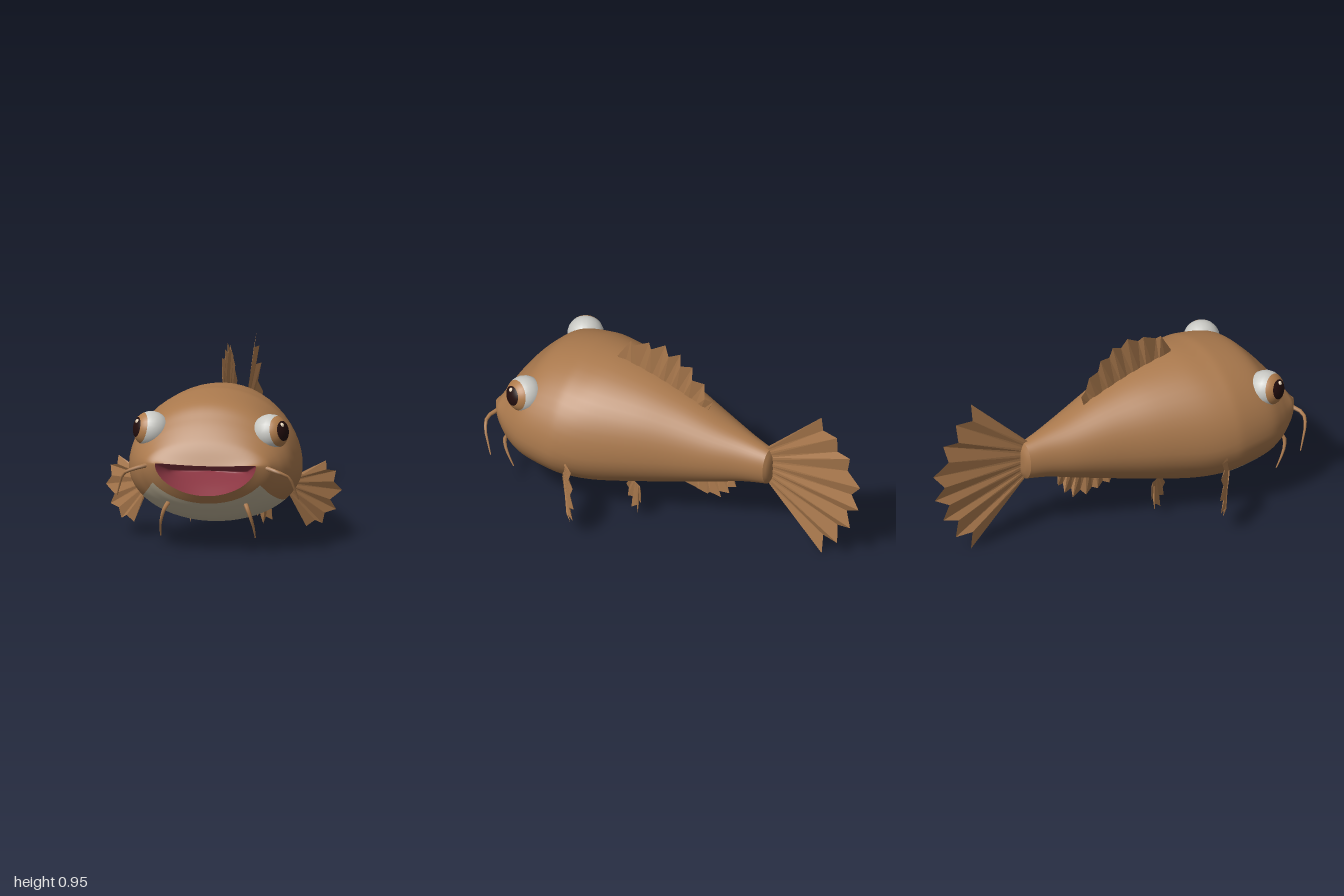
import * as THREE from 'three';

const mat = (name, color, double) => {
  const m = new THREE.MeshStandardMaterial({ color });
  m.name = name;
  if (double) m.side = THREE.DoubleSide;
  return m;
};

// Smooth skin lofted through stations [z, halfWidth, centreY, up, down, bellyAngle].
// Faces inside the belly angle on rows between bellyFrom and bellyTo form a second group.
function loft(stations, steps, bellyFrom = 0, bellyTo = 0) {
  const curveA = new THREE.CatmullRomCurve3(stations.map(s => new THREE.Vector3(s[0], s[1], s[2])), false, 'catmullrom');
  const curveB = new THREE.CatmullRomCurve3(stations.map(s => new THREE.Vector3(s[3], s[4], s[5])), false, 'catmullrom');
  const rows = (stations.length - 1) * steps, inBelly = 20, cols = 56;
  const pos = [], skin = [], belly = [];
  for (let i = 0; i <= rows; i++) {
    const { x: z, y: w, z: yc } = curveA.getPoint(i / rows);
    const { x: up, y: down, z: b } = curveB.getPoint(i / rows);
    const curl = 0.02 * Math.max(0, (z - 0.9) / 0.1); // lips turn up at the corners
    for (let j = 0; j < cols; j++) {
      const a = j < inBelly ? -b + 2 * b * j / inBelly
        : b + (2 * Math.PI - 2 * b) * (j - inBelly) / (cols - inBelly);
      const s = Math.sin(a), c = Math.cos(a);
      pos.push(w * s, yc - c * (c > 0 ? down : up) + curl * s * s, z);
    }
  }
  for (let i = 0; i < rows; i++) for (let j = 0; j < cols; j++) {
    const k = (j + 1) % cols, p = i * cols, q = p + cols;
    const target = j < inBelly && i >= bellyFrom && i < bellyTo ? belly : skin;
    target.push(p + j, q + j, p + k, p + k, q + j, q + k);
  }
  const g = new THREE.BufferGeometry();
  g.setAttribute('position', new THREE.Float32BufferAttribute(pos, 3));
  g.setIndex([...skin, ...belly]);
  g.addGroup(0, skin.length, 0);
  if (belly.length) g.addGroup(skin.length, belly.length, 1);
  g.computeVertexNormals();
  return g;
}

// Pleated fin: a strip from a root line to a zigzag edge; place(u, v) maps the 2D outline to 3D.
function finGeometry(rootA, rootB, tips, place, normal, pleat = 0.008) {
  const n = tips.length - 1, pos = [];
  const root = t => place(rootA[0] + (rootB[0] - rootA[0]) * t, rootA[1] + (rootB[1] - rootA[1]) * t);
  const tip = i => place(...tips[i]).addScaledVector(normal, i % 2 ? -pleat : pleat);
  for (let i = 0; i < n; i++) {
    const a = root(i / n), b = root((i + 1) / n), c = tip(i), d = tip(i + 1);
    for (const p of [a, c, b, b, c, d]) pos.push(p.x, p.y, p.z);
  }
  const g = new THREE.BufferGeometry();
  g.setAttribute('position', new THREE.Float32BufferAttribute(pos, 3));
  g.computeVertexNormals();
  return g;
}

// Whisker: a tube whose rings shrink towards the tip
function whiskerGeometry(points, radius) {
  const curve = new THREE.CatmullRomCurve3(points.map(p => new THREE.Vector3(...p)));
  const seg = 8, sides = 6, g = new THREE.TubeGeometry(curve, seg, radius, sides);
  const pos = g.attributes.position, v = new THREE.Vector3();
  for (let i = 0; i <= seg; i++) {
    const c = curve.getPointAt(i / seg);
    for (let j = 0; j <= sides; j++) {
      const k = i * (sides + 1) + j;
      v.fromBufferAttribute(pos, k).sub(c).multiplyScalar(1 - 0.75 * i / seg).add(c);
      pos.setXYZ(k, v.x, v.y, v.z);
    }
  }
  return g;
}

export function createModel() {
  const model = new THREE.Group();
  model.name = 'catfish';
  const brown = mat('brown skin', 0xaa794d), finBrown = mat('brown fin', 0xaa794d, true);
  const cream = mat('cream belly', 0xbdb197), red = mat('mouth red', 0x8a3642, true);
  const white = mat('eye white', 0xc9c9c4), iris = mat('iris brown', 0xb07c4c);
  const black = mat('pupil black', 0x220d0d), shine = mat('eye shine', 0xf0dcc0);
  const add = (name, geo, material, parent = model) => {
    const m = new THREE.Mesh(geo, material);
    m.name = name;
    parent.add(m);
    return m;
  };

  // Body with cream belly, then the rounded tail stump
  const stations = [
    [1, 0.26, 0.455, 0.015, 0.14, 1.06],
    [0.965, 0.315, 0.45, 0.10, 0.18, 1.06],
    [0.93, 0.345, 0.44, 0.165, 0.21, 1.05],
    [0.86, 0.39, 0.43, 0.255, 0.255, 1.02],
    [0.77, 0.425, 0.42, 0.34, 0.275, 0.98],
    [0.62, 0.44, 0.41, 0.387, 0.29, 0.94],
    [0.53, 0.432, 0.41, 0.39, 0.295, 0.85],
    [0.4, 0.395, 0.41, 0.383, 0.285, 0.75],
    [0.2, 0.317, 0.42, 0.33, 0.255, 0.75],
    [0, 0.235, 0.425, 0.26, 0.21, 0.75],
    [-0.2, 0.162, 0.43, 0.18, 0.16, 0.75],
    [-0.34, 0.108, 0.43, 0.135, 0.12, 0.75],
    [-0.46, 0.07, 0.43, 0.10, 0.10, 0.75],
  ];
  add('body', loft(stations, 6, 6, 36), [brown, cream]);
  add('tailStump', loft([stations[12], [-0.478, 0.045, 0.43, 0.06, 0.06, 0.75], [-0.48, 0, 0.43, 0, 0, 0.75]], 2), brown);

  // Mouth cavity, lofted from the throat forward so that it faces inwards
  add('mouth', loft([
    [0.8, 0, 0.41, 0, 0, 1.06],
    [0.84, 0.16, 0.415, 0.012, 0.02, 1.06],
    [0.92, 0.215, 0.435, 0.015, 0.075, 1.06],
    stations[0],
  ], 4), red);

  // Fins on the centre line
  const X = new THREE.Vector3(1, 0, 0);
  const mid = (z, y) => new THREE.Vector3(0, y, z);
  add('tailFin', finGeometry([-0.43, 0.53], [-0.45, 0.33], [
    [-0.773, 0.85], [-0.773, 0.76], [-0.864, 0.754], [-0.858, 0.658], [-0.94, 0.652], [-0.917, 0.56],
    [-1, 0.49], [-0.94, 0.42], [-0.99, 0.35], [-0.912, 0.31], [-0.94, 0.22], [-0.858, 0.203],
    [-0.864, 0.10], [-0.773, 0.11], [-0.773, 0.005]], mid, X), finBrown);
  add('dorsalFin', finGeometry([0.43, 0.77], [-0.09, 0.62], [
    [0.43, 0.805], [0.36, 0.914], [0.34, 0.898], [0.254, 0.94], [0.233, 0.914], [0.158, 0.957], [0.13, 0.904],
    [0.07, 0.93], [0.06, 0.87], [-0.003, 0.877], [-0.008, 0.807], [-0.072, 0.797], [-0.083, 0.717],
    [-0.12, 0.70], [-0.094, 0.631]], mid, X), finBrown);
  add('analFin', finGeometry([0.08, 0.22], [-0.25, 0.30], [
    [0.08, 0.185], [0.05, 0.15], [0.02, 0.16], [-0.02, 0.138], [-0.045, 0.146], [-0.09, 0.122], [-0.115, 0.15],
    [-0.17, 0.128], [-0.17, 0.176], [-0.22, 0.17], [-0.22, 0.22], [-0.26, 0.225], [-0.254, 0.278]], mid, X), finBrown);

  // Paired parts, built on the left and mirrored through x
  const eyeAxis = new THREE.Vector3(0.87, 0.2, 0.42).normalize();
  for (const s of [1, -1]) {
    const side = s > 0 ? 'left' : 'right';
    const pectoral = (x, y) => new THREE.Vector3(s * x, y, 0.49 - 0.82 * (x - 0.43));
    add(side + 'PectoralFin', finGeometry([0.385, 0.35], [0.365, 0.25], [
      [0.43, 0.35], [0.537, 0.405], [0.534, 0.36], [0.583, 0.346], [0.567, 0.294], [0.61, 0.242], [0.55, 0.203],
      [0.583, 0.147], [0.525, 0.137], [0.52, 0.082], [0.48, 0.105], [0.446, 0.075], [0.375, 0.24]],
      pectoral, new THREE.Vector3(s * 0.64, 0, 0.77), 0.006), finBrown);

    const pelvic = (z, y) => new THREE.Vector3(s * (0.15 + (0.29 - z) * 0.65), y, z);
    add(side + 'PelvicFin', finGeometry([0.25, 0.21], [0.17, 0.22], [
      [0.29, 0.15], [0.285, 0.12], [0.275, 0.085], [0.25, 0.095], [0.24, 0.04], [0.21, 0.07],
      [0.18, 0.05], [0.185, 0.115], [0.15, 0.13], [0.17, 0.19]],
      pelvic, new THREE.Vector3(s * 0.84, 0, 0.54), 0.006), finBrown);

    const flip = pts => pts.map(([x, y, z]) => [s * x, y, z]);
    add(side + 'UpperWhisker', whiskerGeometry(flip([
      [0.285, 0.465, 0.95], [0.37, 0.445, 0.985], [0.425, 0.415, 0.965], [0.45, 0.35, 0.935], [0.466, 0.295, 0.91]]), 0.013), brown);
    add(side + 'LowerWhisker', whiskerGeometry(flip([
      [0.2, 0.265, 0.94], [0.215, 0.24, 0.968], [0.23, 0.195, 0.963], [0.24, 0.14, 0.935], [0.243, 0.09, 0.905]]), 0.013), brown);

    // Eye: ball split into pupil, iris and white bands around its axis
    const eye = new THREE.Group();
    eye.name = side + 'Eye';
    eye.position.set(s * 0.306, 0.617, 0.803);
    const axis = eyeAxis.clone();
    axis.x *= s;
    eye.quaternion.setFromUnitVectors(new THREE.Vector3(0, 1, 0), axis);
    const bands = [['pupil', black, 0, 0.58], ['iris', iris, 0.58, 1.0], ['eyeWhite', white, 1.0, Math.PI]];
    for (const [name, m, from, to] of bands)
      add(name, new THREE.SphereGeometry(0.094, 24, 8, 0, Math.PI * 2, from, to - from), m, eye);
    model.add(eye);

    const glint = add(side + 'EyeShine', new THREE.SphereGeometry(0.013, 8, 6), shine);
    const dir = new THREE.Vector3(s * 0.72, 0.52, 0.46).normalize();
    glint.position.copy(eye.position).addScaledVector(dir, 0.089);
  }
  return model;
}
